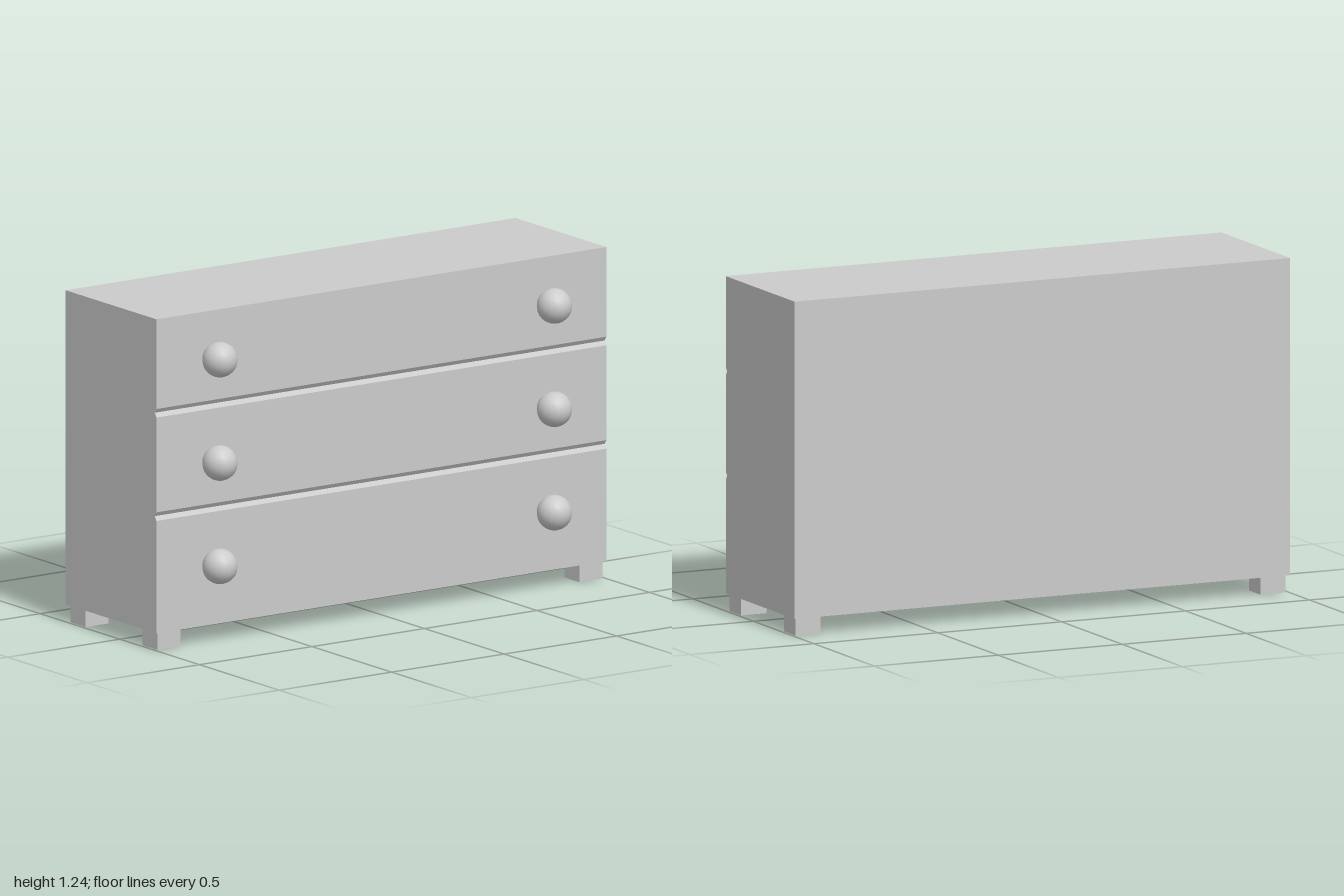
import * as THREE from 'three';

export function createModel() {
  const model = new THREE.Group();
  const grey = new THREE.MeshStandardMaterial({ color: 0xcccccc });
  const add = (name, geometry, x = 0, y = 0, z = 0) => {
    const mesh = new THREE.Mesh(geometry, grey);
    mesh.name = name;
    mesh.position.set(x, y, z);
    model.add(mesh);
  };

  const back = -0.34, front = 0.23, bottom = 0.065, top = 1.235;

  // Cabinet: side profile with V grooves between the drawers, extruded across the width
  const profile = new THREE.Shape();
  profile.moveTo(back, bottom);
  profile.lineTo(front, bottom);
  for (const y of [0.5, 0.885]) {
    profile.lineTo(front, y - 0.016);
    profile.lineTo(front - 0.011, y);
    profile.lineTo(front, y + 0.016);
  }
  profile.lineTo(front, top);
  profile.lineTo(back, top);
  profile.closePath();
  const cabinet = new THREE.ExtrudeGeometry(profile, { depth: 2, bevelEnabled: false });
  cabinet.rotateY(-Math.PI / 2).translate(1, 0, 0);
  add('cabinet', cabinet);

  // Two round knobs on each of the three drawers
  const knob = new THREE.SphereGeometry(0.065, 16, 12);
  for (const y of [0.29, 0.675, 1.06]) {
    add('rightKnob', knob, -0.75, y, 0.275);
    add('leftKnob', knob, 0.737, y, 0.275);
  }

  // Four square feet
  const foot = new THREE.BoxGeometry(0.102, bottom, 0.095);
  for (const x of [-0.938, 0.938]) {
    add('frontFoot', foot, x, bottom / 2, 0.173);
    add('backFoot', foot, x, bottom / 2, -0.277);
  }

  return model;
}
